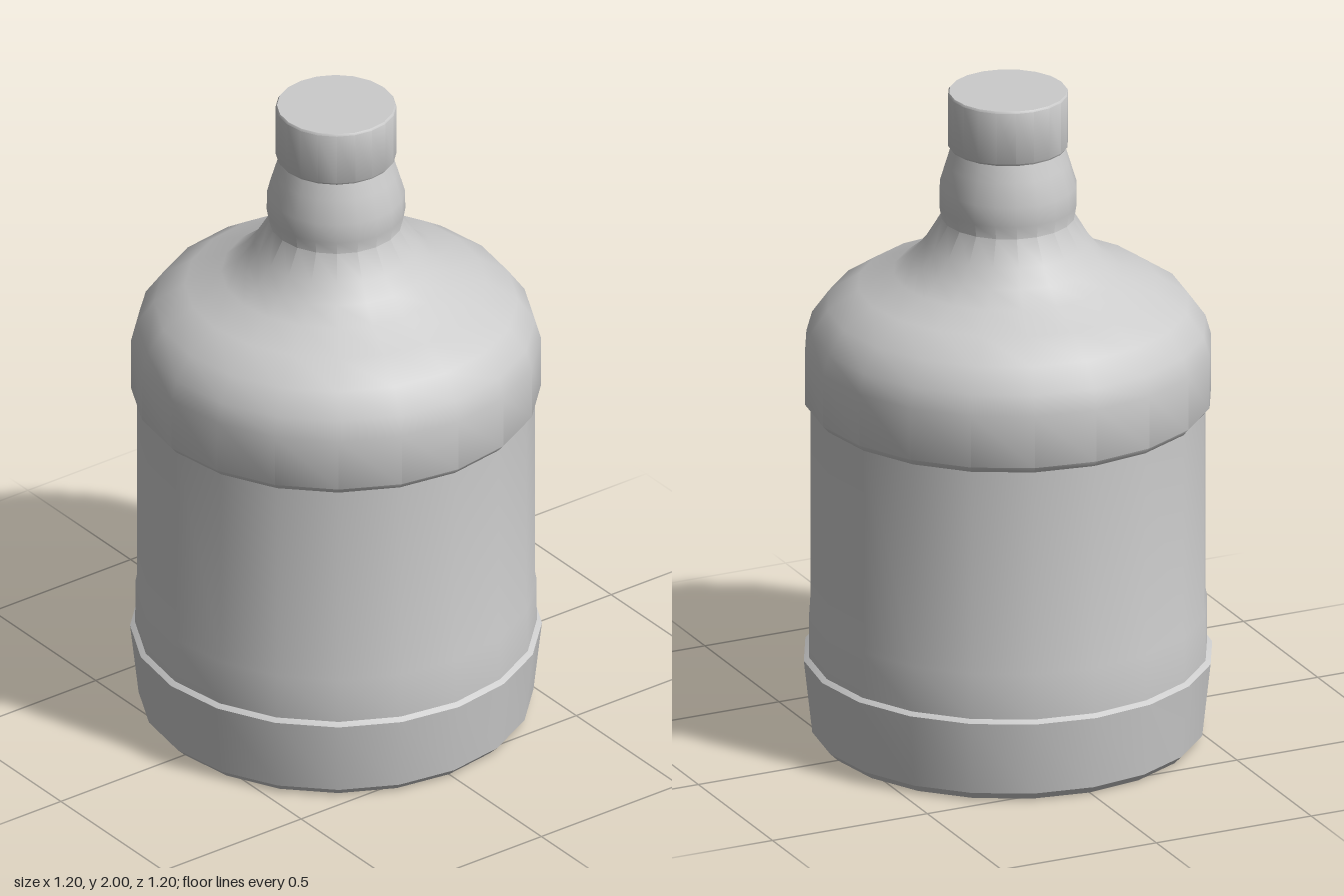
import * as THREE from 'three';
import { toCreasedNormals } from 'three/addons/utils/BufferGeometryUtils.js';

const SIDES = 20;
const material = new THREE.MeshStandardMaterial({ color: 0xcccccc });

// Turns a [radius, height] profile, listed bottom to top, into a 20-sided part.
function turned(name, profile, crease = 0.6) {
  const points = profile.map(([r, y]) => new THREE.Vector2(r, y));
  const mesh = new THREE.Mesh(toCreasedNormals(new THREE.LatheGeometry(points, SIDES), crease), material);
  mesh.name = name;
  return mesh;
}

export function createModel() {
  const jug = new THREE.Group();
  jug.name = 'jug';

  // Flared foot with a chamfered flat bottom and a small ledge on top
  jug.add(turned('base', [
    [0, 0], [0.55, 0], [0.575, 0.025], [0.6, 0.25], [0.585, 0.26],
  ]));

  // Straight wall, slightly recessed between base and shoulder
  jug.add(turned('body', [
    [0.585, 0.26], [0.584, 0.4], [0.58, 0.42], [0.58, 1.03],
  ]));

  // Domed shoulder sweeping up into the bulged neck
  jug.add(turned('shoulderAndNeck', [
    [0.58, 1.03], [0.597, 1.05], [0.597, 1.21], [0.58, 1.27], [0.53, 1.34],
    [0.44, 1.4], [0.335, 1.44], [0.28, 1.485], [0.24, 1.535], [0.195, 1.61],
    [0.202, 1.65], [0.201, 1.71], [0.18, 1.78], [0.165, 1.83],
  ], 0.75));

  // Plain cap with a finely bevelled rim
  jug.add(turned('cap', [
    [0, 1.83], [0.172, 1.83], [0.176, 1.836], [0.176, 1.994], [0.172, 2], [0, 2],
  ]));

  return jug;
}
